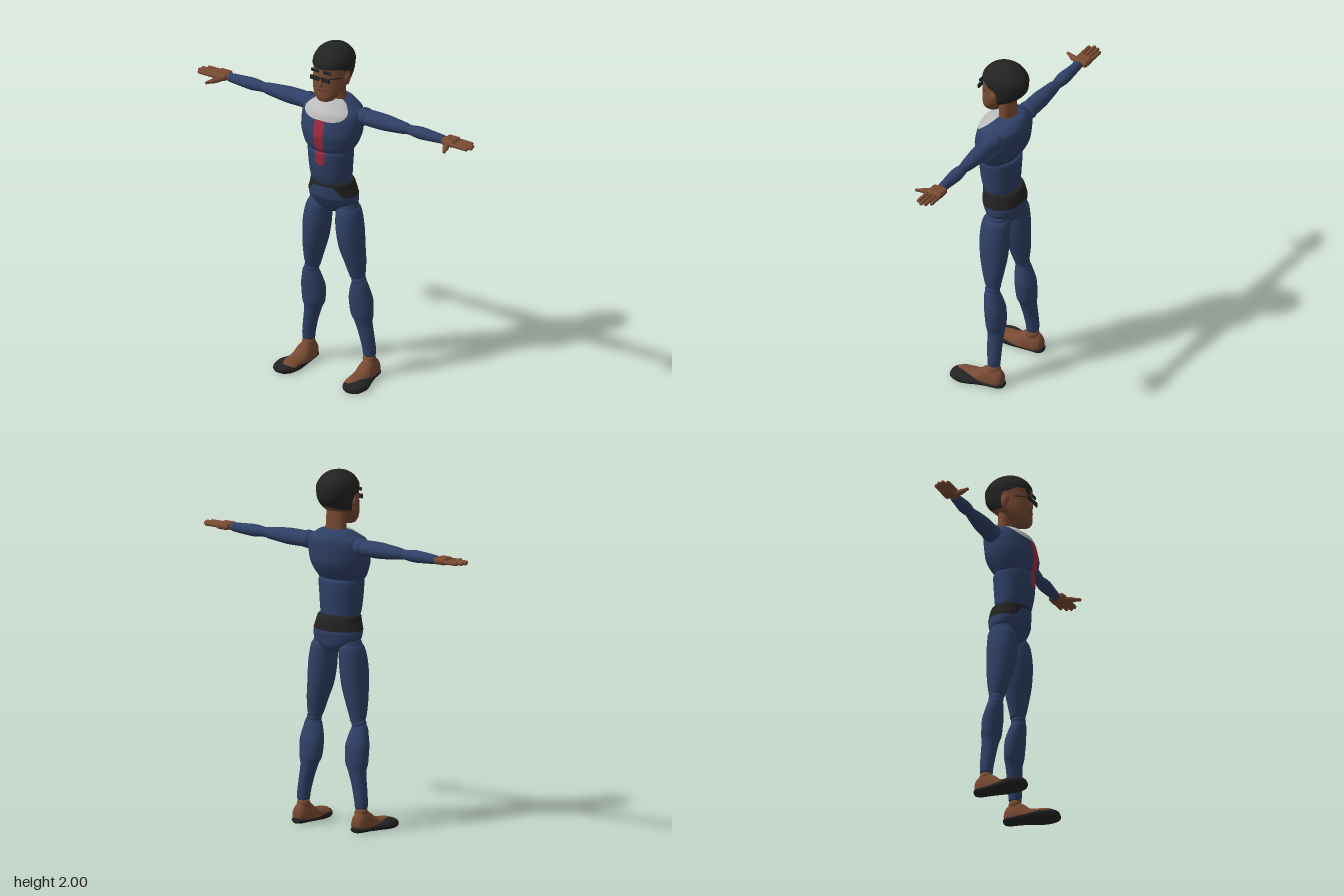
import * as THREE from 'three';
import { mergeVertices } from 'three/addons/utils/BufferGeometryUtils.js';
import { RoundedBoxGeometry } from 'three/addons/geometries/RoundedBoxGeometry.js';

const mat = (name, color, side = THREE.FrontSide) => {
  const m = new THREE.MeshStandardMaterial({ color, side });
  m.name = name;
  return m;
};

// Smooth, non-overshooting value of column c at row position t
function sample(rows, c, t) {
  const n = rows.length - 1, i = Math.min(Math.floor(t), n - 1), f = t - i;
  const d = k => rows[k + 1][c] - rows[k][c];
  const slope = k => {
    if (k === 0) return d(0);
    if (k === n) return d(n - 1);
    const a = d(k - 1), b = d(k);
    return a * b > 0 ? 2 * a * b / (a + b) : 0;
  };
  const p = rows[i][c], q = rows[i + 1][c], f2 = f * f, f3 = f2 * f;
  return p * (2 * f3 - 3 * f2 + 1) + slope(i) * (f3 - 2 * f2 + f) + q * (3 * f2 - 2 * f3) + slope(i + 1) * (f3 - f2);
}

function rowAt(rows, y) {
  let a = 0, b = rows.length - 1;
  for (let i = 0; i < 30; i++) {
    const m = (a + b) / 2;
    if (sample(rows, 0, m) < y) a = m; else b = m;
  }
  return (a + b) / 2;
}

// Surface through elliptical rings [y, cx, cz, rx, rz]; angle 0 faces +z.
// Optional limits cut out a patch, grow lifts it off the surface.
function loft(rows, { from = -Math.PI, to = Math.PI, lo, hi, grow = 1, nu = 32 } = {}) {
  const nv = (rows.length - 1) * 4, pos = [], idx = [];
  for (let i = 0; i <= nu; i++) {
    const a = from + (to - from) * i / nu;
    const t0 = lo ? rowAt(rows, lo(a)) : 0, t1 = hi ? rowAt(rows, hi(a)) : rows.length - 1;
    for (let j = 0; j <= nv; j++) {
      const t = t0 + (t1 - t0) * j / nv, s = c => sample(rows, c, t);
      pos.push(s(1) + s(3) * grow * Math.sin(a), s(0), s(2) + s(4) * grow * Math.cos(a));
      if (i < nu && j < nv) {
        const p = i * (nv + 1) + j, q = p + nv + 1;
        idx.push(p, q, q + 1, p, q + 1, p + 1);
      }
    }
  }
  const g = new THREE.BufferGeometry();
  g.setAttribute('position', new THREE.Float32BufferAttribute(pos, 3));
  g.setIndex(idx);
  const m = mergeVertices(g, 1e-5);
  m.computeVertexNormals();
  return m;
}

const ball = (x, y, z, rx, ry = rx, rz = rx) => new THREE.SphereGeometry(1, 24, 16).scale(rx, ry, rz).translate(x, y, z);

function mirrored(geo) {
  const g = mergeVertices(geo.clone()).scale(-1, 1, 1), ix = g.index.array;
  for (let i = 0; i < ix.length; i += 3) [ix[i], ix[i + 1]] = [ix[i + 1], ix[i]];
  return g;
}

export function createModel() {
  const group = new THREE.Group();
  const navy = mat('navy suit', 0x2f4066), skin = mat('brown skin', 0x784a33);
  const black = mat('black', 0x232323, THREE.DoubleSide), grey = mat('light grey', 0xbababa, THREE.DoubleSide);
  const red = mat('red', 0x9c2a3e, THREE.DoubleSide), lip = mat('dark brown', 0x4a2a20, THREE.DoubleSide);
  const add = (name, geo, material) => {
    const m = new THREE.Mesh(geo, material);
    m.name = name;
    group.add(m);
  };
  const pair = (name, geo, material) => {
    add(name + 'Left', geo, material);
    add(name + 'Right', mirrored(geo), material);
  };

  // Torso
  const chest = [[1.375, 0, .005, 0, 0], [1.38, 0, .005, .125, .09], [1.4, 0, .008, .145, .107], [1.45, 0, -.003, .17, .13],
    [1.5, 0, -.01, .182, .142], [1.56, 0, -.02, .185, .138], [1.61, 0, -.03, .175, .13], [1.645, 0, -.043, .13, .105],
    [1.67, 0, -.05, .08, .075], [1.68, 0, -.05, 0, 0]];
  const abdomen = [[1.18, 0, -.005, 0, 0], [1.185, 0, -.005, .115, .09], [1.21, 0, -.002, .122, .098], [1.3, 0, .003, .129, .11],
    [1.37, 0, .003, .134, .113], [1.39, 0, .003, .125, .105], [1.395, 0, .003, 0, 0]];
  const pelvis = [[.975, 0, -.045, 0, 0], [.985, 0, -.045, .045, .045], [1.02, 0, -.04, .11, .08], [1.07, 0, -.03, .15, .1],
    [1.1, 0, -.025, .148, .11], [1.15, 0, -.02, .132, .11], [1.188, 0, -.015, .119, .1], [1.195, 0, -.015, 0, 0]];
  add('chest', loft(chest, { nu: 48 }), navy);
  add('abdomen', loft(abdomen, { nu: 48 }), navy);
  add('pelvis', loft(pelvis, { nu: 48 }), navy);

  // Belt, collar and stripe
  const beltEdge = a => 1.17 - .062 * THREE.MathUtils.smoothstep(Math.abs(a), .45, .9);
  add('belt', loft(pelvis, { lo: beltEdge, grow: 1.02, nu: 64 }), black);
  add('collar', loft(chest, { from: -1.1, to: 1.1, lo: a => 1.58 + .08 * (a / 1.1) ** 4, hi: () => 1.676, grow: 1.015 }), grey);
  add('chestStripe', loft(chest, { from: -.17, to: .17, lo: () => 1.385, hi: () => 1.582, grow: 1.02, nu: 8 }), red);
  add('abdomenStripe', loft(abdomen, { from: -.23, to: .23, lo: a => 1.305 + .025 * (a / .23) ** 2, hi: () => 1.388, grow: 1.025, nu: 12 }), red);

  // Neck and head
  add('neck', loft([[1.62, 0, -.045, .075, .05], [1.68, 0, -.045, .064, .045], [1.8, 0, -.04, .06, .045]]), skin);
  const head = [[1.686, 0, .05, 0, 0], [1.69, 0, .052, .04, .042], [1.71, 0, .048, .062, .056], [1.75, 0, .03, .086, .074],
    [1.79, 0, -.003, .099, .107], [1.85, 0, -.026, .104, .13], [1.9, 0, -.03, .107, .13], [1.95, 0, -.03, .088, .104],
    [1.985, 0, -.03, .045, .054], [1.996, 0, -.03, 0, 0]];
  add('head', loft(head, { nu: 48 }), skin);
  const hairline = a => 1.885 - .02 * THREE.MathUtils.smoothstep(Math.abs(a), .9, 1.3) - .09 * THREE.MathUtils.smoothstep(Math.abs(a), 1.45, 1.95);
  const hair = loft(head, { lo: hairline, grow: 1.035, nu: 64 });
  add('hair', hair.translate(0, .004, 0), black);
  pair('ear', ball(.102, 1.82, -.008, .014, .03, .022), skin);
  pair('earLobe', ball(.099, 1.793, -.012, .01, .014, .012), skin);
  add('nose', ball(0, 1.8, .104, .013, .022, .01), skin);
  add('mouth', loft(head, { from: -.32, to: .32, lo: () => 1.757, hi: () => 1.762, grow: 1.03, nu: 8 }), lip);

  // Brows and glasses
  pair('brow', new RoundedBoxGeometry(.052, .018, .009, 2, .003).translate(.039, 1.874, .101), black);
  pair('lens', new RoundedBoxGeometry(.058, .026, .009, 2, .003).translate(.035, 1.832, .11), black);
  add('bridge', new THREE.BoxGeometry(.02, .006, .006).translate(0, 1.838, .111), black);
  pair('temple', loft(head, { from: .5, to: 1.1, lo: () => 1.833, hi: () => 1.839, grow: 1.025, nu: 8 }), black);

  // Arms: rings run outward along x
  const limb = rows => loft(rows).rotateZ(-Math.PI / 2).translate(0, 1.587, -.055);
  pair('shoulder', ball(.185, 1.588, -.055, .05, .05, .055), navy);
  pair('upperArm', limb([[.17, 0, 0, 0, 0], [.18, 0, 0, .04, .045], [.21, 0, 0, .045, .05], [.3, 0, 0, .046, .049],
    [.38, 0, 0, .04, .042], [.46, 0, 0, .031, .032], [.475, 0, 0, .026, .026], [.48, 0, 0, 0, 0]]), navy);
  pair('elbow', ball(.485, 1.587, -.055, .03, .028, .029), navy);
  pair('forearm', limb([[.488, 0, 0, 0, 0], [.492, 0, 0, .026, .028], [.51, 0, 0, .03, .033], [.56, 0, 0, .034, .037],
    [.63, 0, 0, .03, .031], [.695, 0, 0, .025, .026], [.708, 0, 0, .022, .024], [.71, 0, 0, 0, 0]]), navy);

  // Hands
  pair('wrist', ball(.712, 1.587, -.055, .025, .02, .026), skin);
  pair('palm', new RoundedBoxGeometry(.085, .04, .094, 4, .019).translate(.752, 1.59, -.056), skin);
  [.875, .898, .905, .89].forEach((tip, i) => {
    const len = tip - .77;
    pair('finger' + (i + 1), new THREE.CapsuleGeometry(.011, len - .022, 4, 12).rotateZ(Math.PI / 2)
      .translate(.77 + len / 2, 1.589, -.091 + i * .025), skin);
  });
  pair('thumb', loft([[0, 0, 0, 0, 0], [.005, 0, 0, .017, .014], [.04, 0, 0, .018, .015], [.075, 0, 0, .011, .01], [.098, 0, 0, .008, .008],
    [.102, 0, 0, 0, 0]], { nu: 16 }).rotateX(Math.PI / 2).rotateY(.42).translate(.745, 1.578, -.027), skin);

  // Legs
  pair('thigh', loft([[.598, .147, -.042, 0, 0], [.602, .147, -.042, .037, .038], [.63, .145, -.038, .047, .046], [.7, .136, -.034, .06, .062],
    [.8, .118, -.027, .073, .08], [.9, .108, -.025, .078, .086], [.98, .1, -.027, .072, .083], [1.02, .096, -.03, .062, .075],
    [1.045, .095, -.03, .03, .04], [1.05, .095, -.03, 0, 0]]), navy);
  pair('hip', ball(.095, 1.03, -.03, .055, .045, .065), navy);
  pair('knee', ball(.155, .592, -.04, .042, .038, .041), navy);
  pair('shin', loft([[.125, .2, -.078, 0, 0], [.13, .2, -.078, .034, .034], [.16, .199, -.078, .037, .037], [.24, .186, -.074, .041, .042],
    [.33, .166, -.07, .051, .047], [.38, .159, -.066, .068, .054], [.46, .157, -.06, .073, .056], [.53, .158, -.048, .06, .048],
    [.57, .16, -.041, .048, .041], [.588, .16, -.04, .038, .034], [.592, .16, -.04, 0, 0]]), navy);

  // Feet: rings run along z, flattened underneath; columns are z, x, height of centre (negated), half sizes
  const foot = (rows, floor) => {
    const g = loft(rows).rotateX(Math.PI / 2), p = g.attributes.position;
    for (let i = 0; i < p.count; i++) p.setY(i, Math.max(p.getY(i), floor));
    g.computeVertexNormals();
    return g;
  };
  pair('sole', foot([[-.148, .204, -.018, 0, 0], [-.144, .204, -.018, .022, .014], [-.12, .205, -.018, .043, .02], [-.06, .207, -.018, .05, .022],
    [0, .212, -.018, .06, .027], [.08, .224, -.018, .073, .037], [.13, .227, -.018, .064, .034], [.165, .23, -.018, .04, .022],
    [.178, .23, -.018, 0, 0]], 0), black);
  pair('ankle', ball(.2, .105, -.078, .037, .035, .038), skin);
  pair('upper', foot([[-.142, .204, -.04, 0, 0], [-.138, .204, -.045, .024, .03], [-.115, .204, -.04, .042, .068], [-.07, .204, -.03, .048, .092],
    [-.03, .205, -.025, .052, .082], [.02, .207, -.02, .055, .05], [.08, .212, -.02, .058, .041], [.12, .213, -.02, .052, .036],
    [.145, .215, -.02, .03, .028], [.155, .215, -.02, 0, 0]], .02), skin);
  return group;
}
